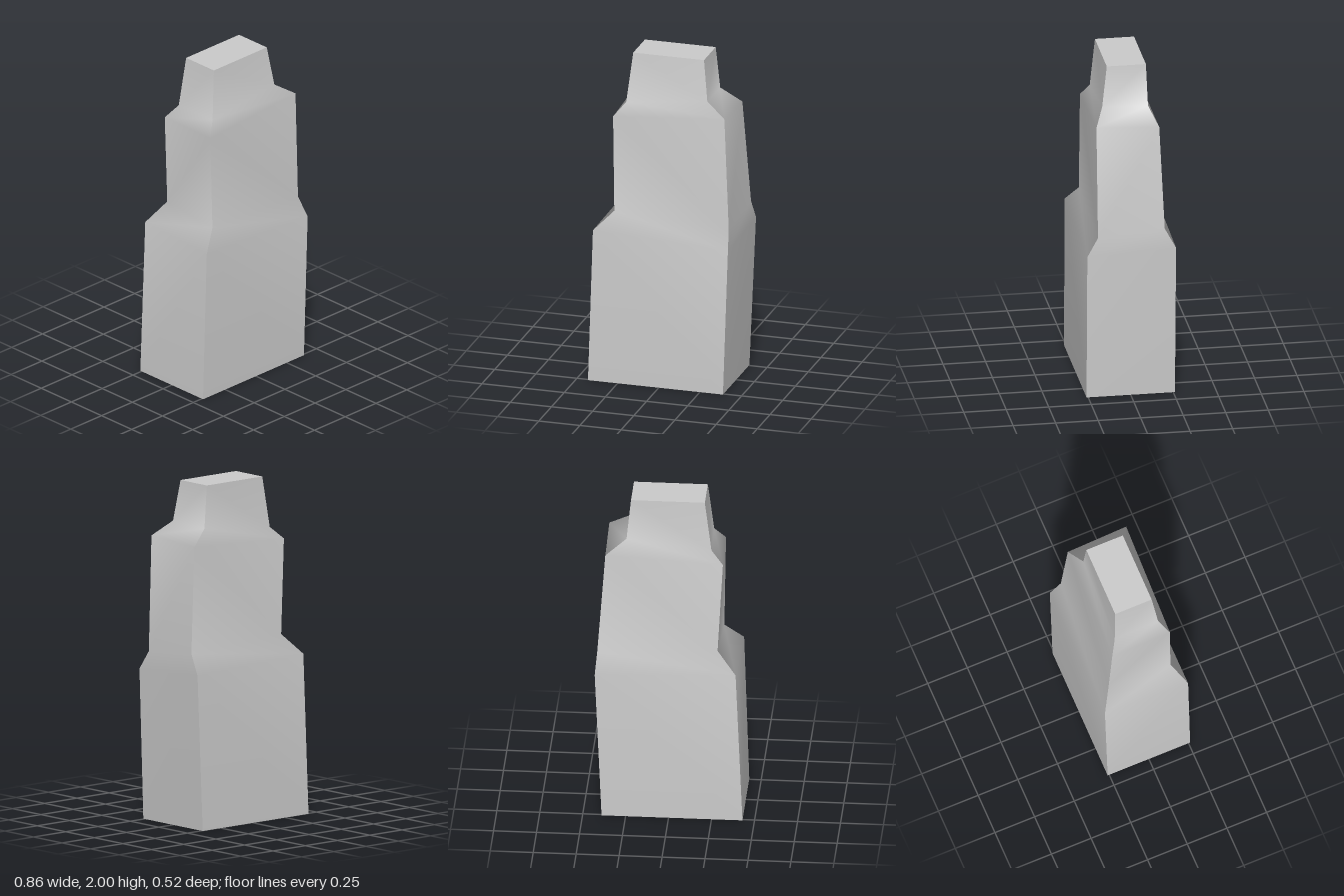
import * as THREE from 'three';

// Cross-sections from base to top; corners: front left, front right, back right, back left (x, y, z)
const rings = [
  [[-0.43, 0, 0.26], [0.39, 0, 0.26], [0.39, 0, -0.26], [-0.43, 0, -0.26]],
  [[-0.4, 0.93, 0.26], [0.42, 0.89, 0.26], [0.43, 0.92, -0.26], [-0.39, 0.95, -0.26]],
  [[-0.29, 1.04, 0.195], [0.405, 1.0, 0.195], [0.42, 1.04, -0.195], [-0.28, 1.07, -0.19]],
  [[-0.3, 1.62, 0.187], [0.38, 1.68, 0.2], [0.375, 1.66, -0.17], [-0.31, 1.63, -0.18]],
  [[-0.235, 1.7, 0.14], [0.26, 1.76, 0.147], [0.255, 1.75, -0.123], [-0.24, 1.7, -0.135]],
  [[-0.2, 2, 0.115], [0.23, 2, 0.115], [0.23, 2, -0.115], [-0.2, 2, -0.115]],
];

function makeGeometry(points, index) {
  const geometry = new THREE.BufferGeometry();
  geometry.setAttribute('position', new THREE.Float32BufferAttribute(points.flat(), 3));
  geometry.setIndex(index);
  geometry.computeVertexNormals();
  return geometry;
}

// One wall: smooth up its height, with sharp edges at the corners
function makeWall(side) {
  const points = [];
  const index = [];
  rings.forEach((ring, i) => {
    points.push(ring[side], ring[(side + 1) % 4]);
    if (i === rings.length - 1) return;
    const a = 2 * i, b = a + 1, c = a + 2, d = a + 3;
    if (side % 2 === 0) index.push(a, b, c, b, d, c);
    else index.push(a, b, d, a, d, c);
  });
  return makeGeometry(points, index);
}

export function createModel() {
  const group = new THREE.Group();
  group.name = 'steppedTower';
  const material = new THREE.MeshStandardMaterial({ color: 0xcccccc });
  const add = (name, geometry) => {
    const mesh = new THREE.Mesh(geometry, material);
    mesh.name = name;
    group.add(mesh);
  };

  // Walls around the tower
  ['frontWall', 'leftWall', 'backWall', 'rightWall'].forEach((name, side) => add(name, makeWall(side)));

  // Flat top and base
  add('top', makeGeometry(rings[rings.length - 1], [0, 1, 2, 0, 2, 3]));
  add('base', makeGeometry(rings[0], [0, 2, 1, 0, 3, 2]));

  return group;
}
